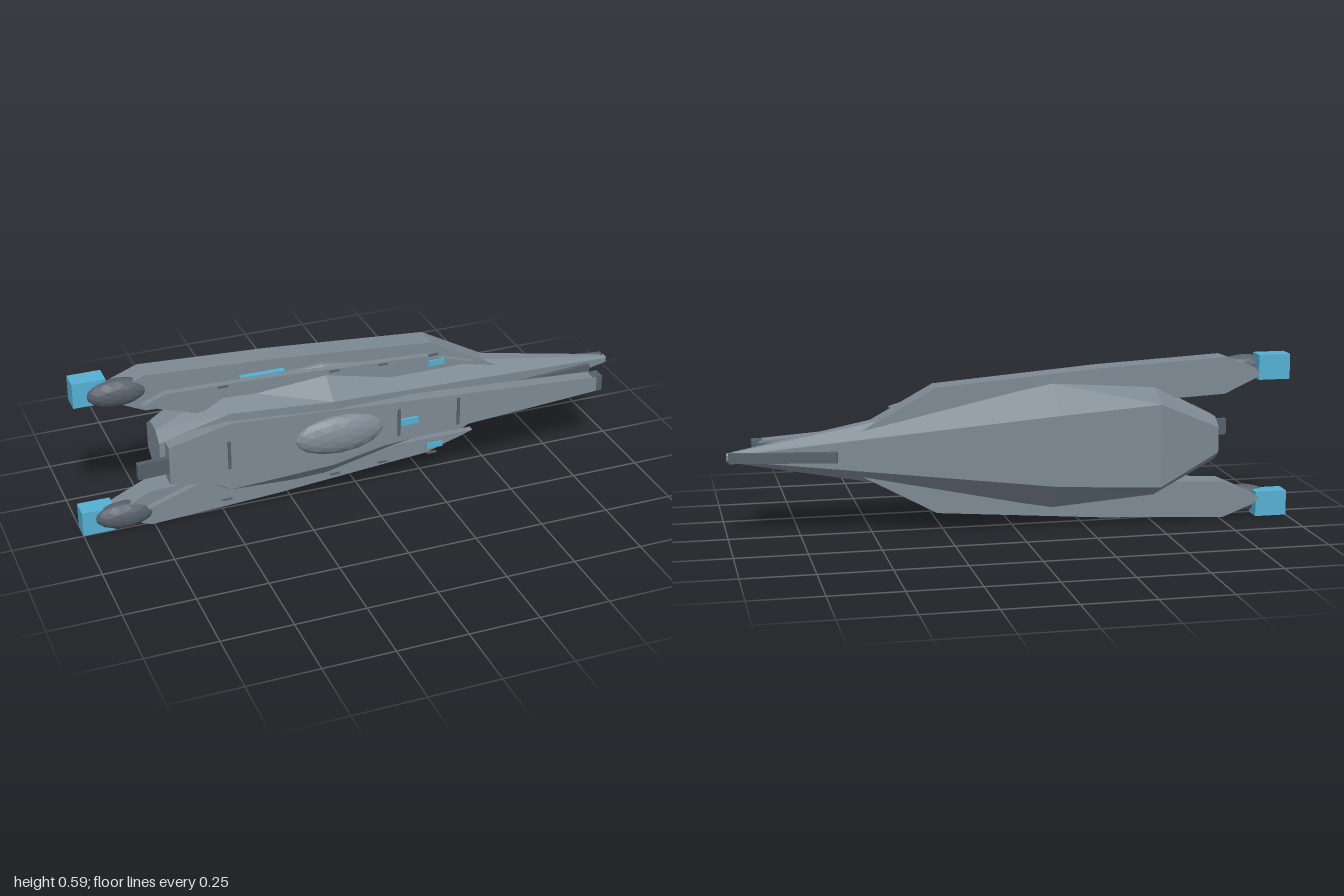
import * as THREE from 'three';

const paint = (name, color) => {
  const m = new THREE.MeshStandardMaterial({ color });
  m.name = name;
  m.flatShading = true;
  return m;
};

export function createModel() {
  const hullGrey = paint('hull grey', 0x7d8993);
  const darkGrey = paint('dark grey', 0x555f69);
  const glowBlue = paint('glow blue', 0x55b0d4);

  const ship = new THREE.Group();
  ship.name = 'ship';
  ship.position.y = 0.296; // the ship is mirrored about this height

  const add = (name, geometry, material, x = 0, y = 0, z = 0, tilt = 0) => {
    const mesh = new THREE.Mesh(geometry, material);
    mesh.name = name;
    mesh.position.set(x, y, z);
    mesh.rotation.y = tilt;
    ship.add(mesh);
    return mesh;
  };
  const box = (name, material, size, pos, tilt = 0) =>
    add(name, new THREE.BoxGeometry(...size), material, ...pos, tilt);
  const slab = (name, material, points, z0, z1) => {
    const shape = new THREE.Shape(points.map(p => new THREE.Vector2(...p)));
    return add(name, new THREE.ExtrudeGeometry(shape, { depth: z1 - z0, bevelEnabled: false }), material, 0, 0, z0);
  };
  const egg = (name, material, radii, pos) =>
    add(name, new THREE.IcosahedronGeometry(1, 2).scale(...radii), material, ...pos);

  // Main hull: eight-sided sections [x, centre z, flat y, wide y, flat z, wide z]
  const stations = [
    [-0.73, -0.022, 0.045, 0.077, 0.078, 0.035],
    [-0.5, -0.022, 0.148, 0.194, 0.143, 0.05],
    [-0.13, -0.022, 0.125, 0.221, 0.153, 0.053],
    [1.0, -0.03, 0.008, 0.014, 0.013, 0.006],
  ];
  const rings = stations.map(([x, cz, fy, wy, fz, wz]) => [
    [wy, -wz], [wy, wz], [fy, fz], [-fy, fz], [-wy, wz], [-wy, -wz], [-fy, -fz], [fy, -fz],
  ].map(([y, z]) => [x, y, z + cz]));
  const positions = [];
  const tri = (a, b, c) => positions.push(...a, ...b, ...c);
  for (let i = 0; i < rings.length - 1; i++) {
    for (let j = 0; j < 8; j++) {
      const k = (j + 1) % 8;
      tri(rings[i][j], rings[i][k], rings[i + 1][k]);
      tri(rings[i][j], rings[i + 1][k], rings[i + 1][j]);
    }
  }
  const nose = rings[rings.length - 1];
  for (let j = 1; j < 7; j++) {
    tri(rings[0][0], rings[0][j + 1], rings[0][j]);
    tri(nose[0], nose[j], nose[j + 1]);
  }
  const hull = new THREE.BufferGeometry();
  hull.setAttribute('position', new THREE.Float32BufferAttribute(positions, 3));
  hull.computeVertexNormals();
  add('hull', hull, hullGrey);

  // Long deck plate with its dome, slits and end caps
  slab('deckPlate', hullGrey, [
    [-0.72, -0.07], [-0.5, -0.12], [0.88, -0.028],
    [0.88, 0.028], [-0.5, 0.12], [-0.72, 0.07],
  ], 0.09, 0.138);
  box('deckTip', darkGrey, [0.07, 0.058, 0.045], [0.868, 0, 0.114]);
  egg('dome', hullGrey, [0.165, 0.075, 0.045], [-0.11, 0, 0.132]);
  for (const x of [-0.51, 0.11, 0.335]) box('deckSlit', darkGrey, [0.01, 0.105, 0.008], [x, 0, 0.139]);
  box('deckLight', glowBlue, [0.065, 0.024, 0.012], [0.147, 0, 0.143]);

  // Bars at the tail and nose
  box('tailBar', darkGrey, [0.14, 0.058, 0.02], [-0.76, 0, 0.127], 0.04);
  box('noseBar', darkGrey, [0.37, 0.035, 0.025], [0.81, 0, -0.073], -0.17);
  box('noseKeel', darkGrey, [0.48, 0.06, 0.014], [0.66, 0, 0.062], 0.1);
  box('noseLight', glowBlue, [0.46, 0.02, 0.012], [0.64, 0, 0.052], 0.14);

  // Upper and lower sides
  for (const s of [1, -1]) {
    slab('wing', hullGrey, [
      [-0.9, 0.225 * s], [-0.87, 0.25 * s], [-0.76, 0.292 * s], [-0.3, 0.268 * s], [0.28, 0.222 * s],
      [0.54, 0.08 * s], [0.2, 0.08 * s], [-0.55, 0.15 * s], [-0.76, 0.16 * s],
    ], -0.071, 0.016);
    slab('wingRail', hullGrey, [
      [-0.78, 0.2 * s], [-0.7, 0.232 * s], [-0.35, 0.225 * s], [0.25, 0.195 * s],
      [0.43, 0.138 * s], [-0.6, 0.14 * s],
    ], 0.036, 0.06);
    slab('railMount', hullGrey, [
      [-0.66, 0.19 * s], [-0.35, 0.19 * s], [0.2, 0.17 * s], [0.2, 0.12 * s], [-0.6, 0.12 * s],
    ], 0.01, 0.04);
    box('engineBlock', glowBlue, [0.115, 0.09, 0.07], [-0.9425, 0.25 * s, -0.036]);
    egg('enginePod', darkGrey, [0.105, 0.05, 0.04], [-0.85, 0.239 * s, -0.002]);
    box('wingLight', glowBlue, [0.16, 0.012, 0.02], [-0.35, 0.222 * s, 0.025]);
    box('railLight', glowBlue, [0.06, 0.02, 0.012], [0.28, 0.167 * s, 0.06]);
    for (const [x, y] of [[-0.5, 0.222], [-0.1, 0.205], [0.08, 0.196], [0.27, 0.197]]) {
      box('railFin', darkGrey, [0.035, 0.006, 0.008], [x, y * s, 0.061]);
    }
  }

  const model = new THREE.Group();
  model.name = 'model';
  model.add(ship);
  return model;
}
